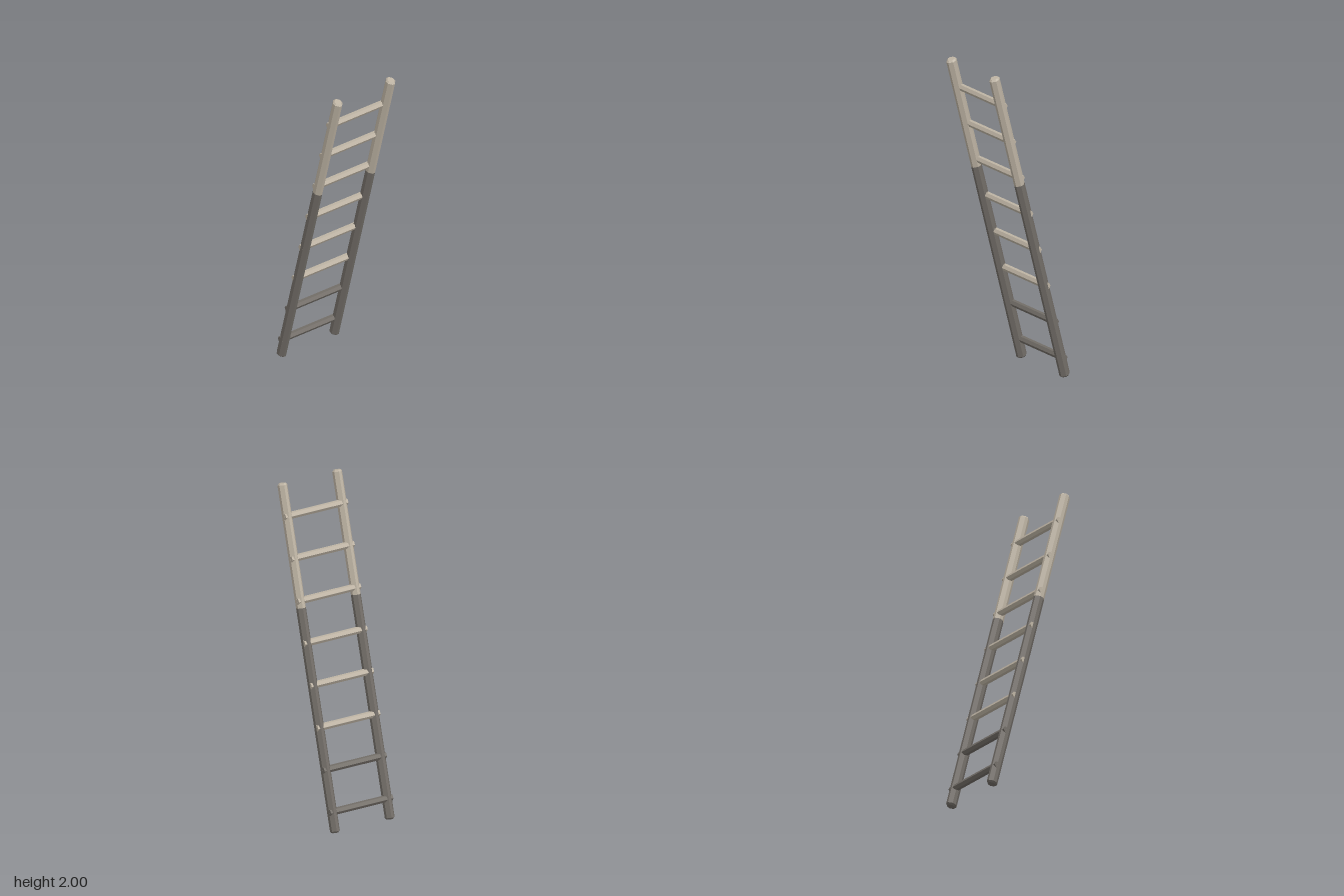
import * as THREE from 'three';

const LEAN = THREE.MathUtils.degToRad(15);
const HALF = 1.03;      // half the rail length
const SPLIT = 0.295;    // where the rail changes colour, along its axis
const RAIL_X = 0.193;

// Octagonal rail section, wider flats on the sides
const SECTION = [
  [0.0085, 0.032], [0.0275, 0.0105], [0.0275, -0.0105], [0.0085, -0.032],
  [-0.0085, -0.032], [-0.0275, -0.0105], [-0.0275, 0.0105], [-0.0085, 0.032],
];

// Loft the section through rings of [height, scale], closing both ends
function railGeometry(rings) {
  const pos = [];
  const n = SECTION.length;
  const at = ([y, s], i) => [SECTION[i % n][0] * s, y, SECTION[i % n][1] * s];
  const last = rings[rings.length - 1];
  for (let i = 0; i < n; i++) {
    for (let r = 0; r < rings.length - 1; r++) {
      const a = at(rings[r], i), b = at(rings[r], i + 1);
      const c = at(rings[r + 1], i + 1), d = at(rings[r + 1], i);
      pos.push(...a, ...b, ...c, ...a, ...c, ...d);
    }
    pos.push(0, rings[0][0], 0, ...at(rings[0], i + 1), ...at(rings[0], i));
    pos.push(0, last[0], 0, ...at(last, i), ...at(last, i + 1));
  }
  const geo = new THREE.BufferGeometry();
  geo.setAttribute('position', new THREE.Float32BufferAttribute(pos, 3));
  geo.computeVertexNormals();
  return geo;
}

export function createModel() {
  const ladder = new THREE.Group();
  ladder.name = 'ladder';

  const paleWood = new THREE.MeshStandardMaterial({ color: 0xbdb3a3 });
  paleWood.name = 'paleWood';
  const darkWood = new THREE.MeshStandardMaterial({ color: 0x726d67 });
  darkWood.name = 'darkWood';

  const add = (parent, name, geo, mat) => {
    const mesh = new THREE.Mesh(geo, mat);
    mesh.name = name;
    parent.add(mesh);
    return mesh;
  };

  // Leaning rails with chamfered ends
  const lowerGeo = railGeometry([[-HALF, 0.7], [-HALF + 0.01, 1], [SPLIT, 1]]);
  const upperGeo = railGeometry([[SPLIT, 1], [HALF - 0.01, 1], [HALF, 0.7]]);
  for (const side of [1, -1]) {
    const rail = new THREE.Group();
    rail.name = side > 0 ? 'leftRail' : 'rightRail';
    add(rail, 'lowerRail', lowerGeo, darkWood);
    add(rail, 'upperRail', upperGeo, paleWood);
    rail.position.set(side * RAIL_X, 1, 0);
    rail.rotation.x = LEAN;
    ladder.add(rail);
  }

  // Hexagonal rungs, level, set slightly behind the rail centres
  const rungGeo = new THREE.CylinderGeometry(0.021, 0.021, 0.44, 6).toNonIndexed();
  rungGeo.rotateZ(Math.PI / 2);
  rungGeo.computeVertexNormals();
  for (let i = 0; i < 8; i++) {
    const y = 0.126 + i * 0.2405;
    const rung = add(ladder, `rung${i + 1}`, rungGeo, i < 2 ? darkWood : paleWood);
    rung.position.set(0, y, (y - 1) * Math.tan(LEAN) - 0.009);
  }

  return ladder;
}
